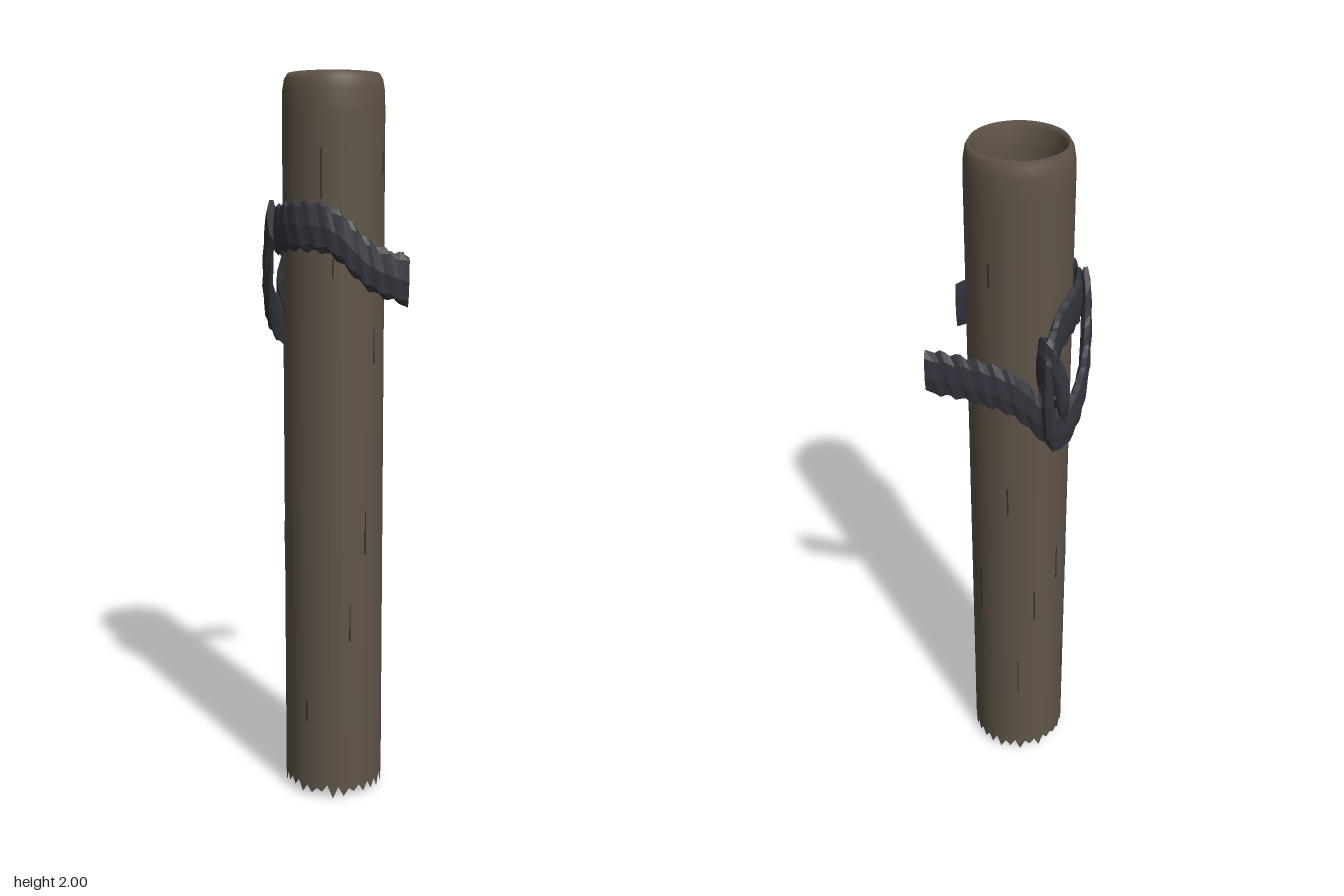
import * as THREE from 'three';

const wood = new THREE.MeshStandardMaterial({ color: 0x5f5448, side: THREE.DoubleSide });
wood.name = 'weathered wood';
const crackMat = new THREE.MeshStandardMaterial({ color: 0x332c25 });
crackMat.name = 'dark crack';
const ropeMat = new THREE.MeshStandardMaterial({ color: 0x34343e, flatShading: true });
ropeMat.name = 'dark rope';

const POLE_Z = 0.04, POLE_R = 0.138, STRETCH = 4.5;

// Small seeded random generator
function seeded(seed) {
  let s = seed;
  return () => (s = (s * 16807) % 2147483647) / 2147483647;
}

function addMesh(parent, name, geometry, material) {
  const mesh = new THREE.Mesh(geometry, material);
  mesh.name = name;
  parent.add(mesh);
  return mesh;
}

function lathe(points, segments) {
  return new THREE.LatheGeometry(points.map(([r, y]) => new THREE.Vector2(r, y)), segments);
}

// Outer skin with a splintered lower edge and a rounded rim
function poleSkin() {
  const geo = lathe([[POLE_R, 0.03], [POLE_R, 0.2], [POLE_R, 1.9], [0.137, 1.955],
    [0.132, 1.985], [0.123, 2], [0.116, 1.985], [0.113, 1.94]], 56);
  const pos = geo.attributes.position, rand = seeded(11);
  const teeth = Array.from({ length: 56 }, (_, i) => (i % 2 ? 0.028 + rand() * 0.015 : rand() * 0.02));
  teeth[0] = 0;
  for (let i = 0; i <= 56; i++) pos.setY(i * 8, teeth[i % 56]);
  return geo;
}

// Rope swept along a path: twisted, lumpy and tall in section
function rope(points, closed = false) {
  const path = new THREE.CatmullRomCurve3(
    points.map(([x, y, z]) => new THREE.Vector3(x, y / STRETCH, z)), closed);
  const rings = Math.round(path.getLength() / 0.013), sides = 7;
  const geo = new THREE.TubeGeometry(path, rings, 0.0145, sides, closed);
  const pos = geo.attributes.position, v = new THREE.Vector3();
  const start = path.getPointAt(0), end = path.getPointAt(1);
  for (let i = 0; i <= rings; i++) {
    const centre = path.getPointAt(i / rings);
    const cap = !closed && (i === 0 || i === rings);
    for (let j = 0; j <= sides; j++) {
      const k = i * (sides + 1) + j;
      const twist = Math.cos(2 * ((j % sides) / sides) * Math.PI * 2 + (closed ? i % rings : i) * 1.9);
      v.fromBufferAttribute(pos, k).sub(centre).multiplyScalar(cap ? 0 : 1 + 0.1 * twist);
      // Flat ends: the second ring joins the end point
      if (!closed && i <= 1) v.add(start);
      else if (!closed && i >= rings - 1) v.add(end);
      else v.add(centre);
      pos.setXYZ(k, v.x, v.y, v.z);
    }
  }
  geo.scale(1, STRETCH, 1);
  geo.computeVertexNormals();
  return geo;
}

export function createModel() {
  const model = new THREE.Group();
  model.name = 'roped post';

  // Hollow post
  const post = new THREE.Group();
  post.name = 'post';
  post.position.z = POLE_Z;
  model.add(post);
  addMesh(post, 'postSkin', poleSkin(), wood);
  addMesh(post, 'postHollow', lathe([[0.113, 1.94], [0.118, 0.07], [0, 0.04]], 24), wood);
  addMesh(post, 'postBottom', lathe([[0, 0.04], [POLE_R - 0.002, 0.045]], 28), wood);

  // Thin upright cracks scattered around the post
  const rand = seeded(29);
  for (let i = 0; i < 18; i++) {
    const angle = i * 2.4, h = 0.05 + rand() * 0.12;
    const crack = addMesh(post, 'crack', new THREE.BoxGeometry(0.004, h, 0.004), crackMat);
    crack.position.set(Math.sin(angle) * POLE_R, 0.15 + rand() * 1.65, Math.cos(angle) * POLE_R);
    crack.position.x *= 0.99;
    crack.position.z *= 0.99;
    crack.rotation.y = angle;
  }

  // Rope across the front, around the side and down into the knot
  addMesh(model, 'frontRope', rope([[0.2, 1.46, 0.172], [0.1, 1.5, 0.178], [0, 1.59, 0.182],
    [-0.09, 1.605, 0.152], [-0.138, 1.6, 0.09], [-0.153, 1.59, 0.04], [-0.142, 1.58, -0.04],
    [-0.122, 1.55, -0.11], [-0.115, 1.46, -0.182], [-0.118, 1.33, -0.165]]), ropeMat);

  // Rope behind the post, looping outside the first strand
  addMesh(model, 'backRope', rope([[0.2, 1.46, -0.175], [0.08, 1.44, -0.168], [-0.03, 1.4, -0.16],
    [-0.09, 1.34, -0.152], [-0.14, 1.31, -0.16], [-0.167, 1.34, -0.13], [-0.184, 1.4, -0.06],
    [-0.182, 1.48, 0], [-0.173, 1.59, 0.045], [-0.165, 1.62, 0.06]]), ropeMat);

  // Knot turn binding the two strands
  addMesh(model, 'knot', rope([[-0.09, 1.46, -0.125], [-0.105, 1.53, -0.165],
    [-0.155, 1.43, -0.17], [-0.12, 1.33, -0.125]], true), ropeMat);

  return model;
}
